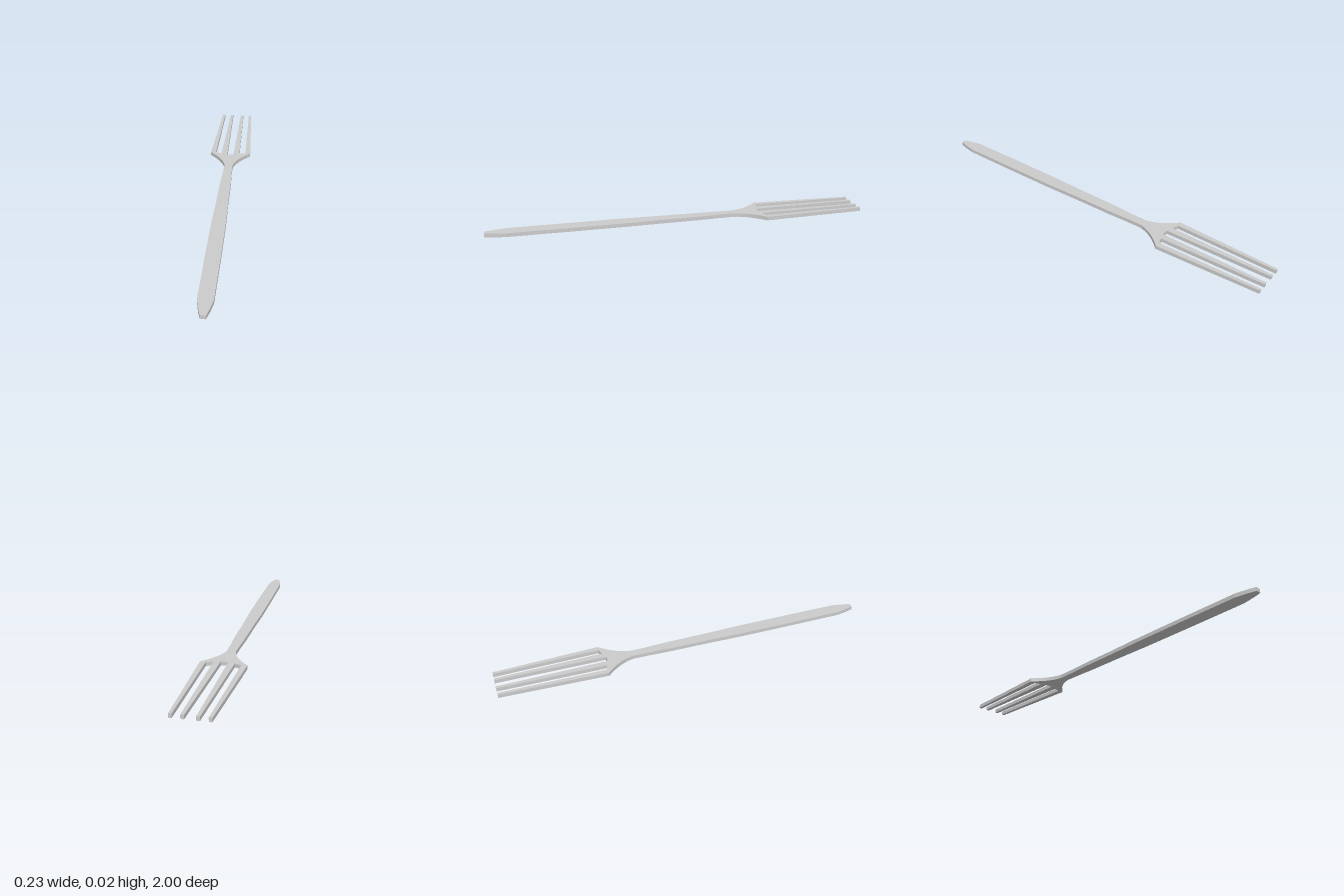
import * as THREE from 'three';

const THICKNESS = 0.02;

// Right half of the flat outline as [x, z], handle end to neck
const handle = [[0.013, 1], [0.024, 0.96], [0.036, 0.9], [0.037, 0.6], [0.036, 0.3], [0.031, 0.1], [0.029, -0.1], [0.024, -0.22], [0.023, -0.3]];

// Tines and slots, from the outer shoulder to the centre slot
const tines = [
  [0.092, -1], [0.077, -1],      // outer tine tip
  [0.086, -0.458], [0.052, -0.446], // outer slot floor
  [0.041, -1], [0.025, -1],      // inner tine tip
  [0.018, -0.435],               // centre slot floor
];

export function createModel() {
  const group = new THREE.Group();
  group.name = 'fork';

  // Neck flares out to the shoulder in a concave curve
  const flare = new THREE.QuadraticBezierCurve(
    new THREE.Vector2(0.023, -0.3),
    new THREE.Vector2(0.034, -0.375),
    new THREE.Vector2(0.115, -0.455)
  ).getPoints(7).slice(1).map((p) => [p.x, p.y]);

  // Mirror the half outline into one closed shape
  const half = [...handle, ...flare, ...tines];
  const mirrored = half.map(([x, z]) => [-x, z]).reverse();
  const outline = [...half, ...mirrored].map(([x, z]) => new THREE.Vector2(x, -z));

  const geometry = new THREE.ExtrudeGeometry(new THREE.Shape(outline), {
    depth: THICKNESS,
    bevelEnabled: false,
  });
  geometry.rotateX(-Math.PI / 2); // lay flat

  const body = new THREE.Mesh(
    geometry,
    new THREE.MeshStandardMaterial({ color: 0xcccccc, flatShading: true })
  );
  body.name = 'forkBody';
  group.add(body);
  return group;
}
